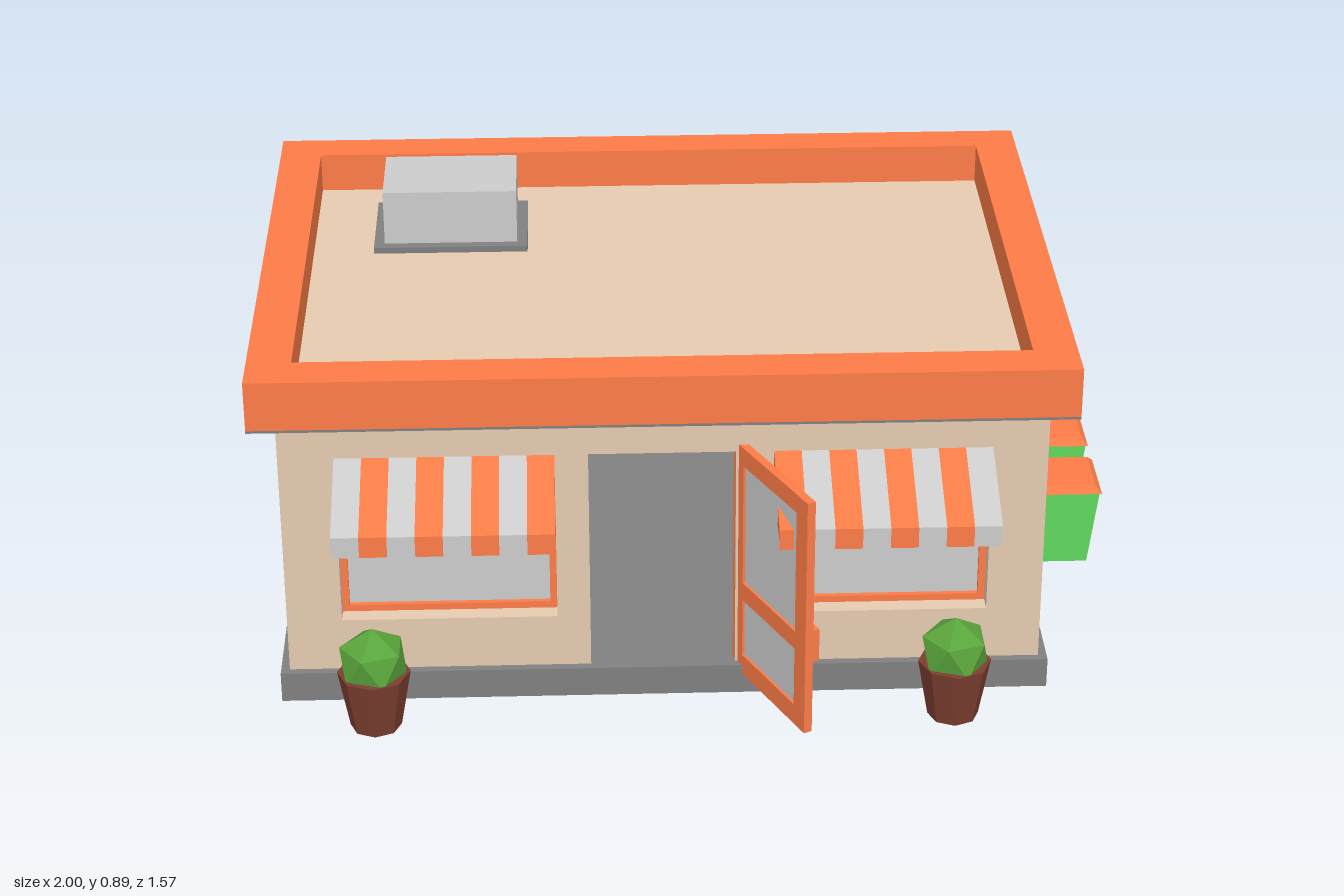
import * as THREE from 'three';

const mat = (color, side = THREE.FrontSide) =>
  new THREE.MeshStandardMaterial({ color, side, flatShading: true });
const ORANGE = mat(0xfd7c47), WALL = mat(0xe6cbb0), GREY = mat(0xcccccc), DARK = mat(0x808080);
const GREEN = mat(0x64e062), POT = mat(0x7c3e2f), PLANT = mat(0x5aa53c);
const CLOTH = [mat(0xcccccc, THREE.DoubleSide), mat(0xfd7c47, THREE.DoubleSide)];

function add(parent, name, geometry, material, x = 0, y = 0, z = 0) {
  const mesh = new THREE.Mesh(geometry, material);
  mesh.name = name;
  mesh.position.set(x, y, z);
  parent.add(mesh);
  return mesh;
}

// Box given by its limits on each axis
function box(parent, name, material, x0, x1, y0, y1, z0, z1) {
  return add(parent, name, new THREE.BoxGeometry(x1 - x0, y1 - y0, z1 - z0), material,
    (x0 + x1) / 2, (y0 + y1) / 2, (z0 + z1) / 2);
}

function rect(Type, x0, x1, y0, y1) {
  return new Type([[x0, y0], [x1, y0], [x1, y1], [x0, y1]].map(p => new THREE.Vector2(...p)));
}

// Flat panel with rectangular holes, thickness along z
function panel(limits, holes, depth) {
  const shape = rect(THREE.Shape, ...limits);
  holes.forEach(h => shape.holes.push(rect(THREE.Path, ...h)));
  return new THREE.ExtrudeGeometry(shape, { depth, bevelEnabled: false });
}

// Framed pane filling an opening, outer face of the wall at local z = T
const T = 0.08;
function windowUnit(parent, name, x0, x1, y0, y1) {
  const g = new THREE.Group();
  g.name = name;
  const f = 0.016;
  add(g, 'windowFrame', panel([x0, x1, y0, y1], [[x0 + f, x1 - f, y0 + f, y1 - f]], 0.03), ORANGE, 0, 0, 0.01);
  box(g, 'windowPane', GREY, x0 + f, x1 - f, y0 + f, y1 - f, 0.018, 0.028);
  parent.add(g);
}

// Quad or triangle strip from corner points
function sheet(points) {
  const g = new THREE.BufferGeometry();
  g.setAttribute('position', new THREE.Float32BufferAttribute(points.flat(), 3));
  g.setIndex(points.length === 4 ? [0, 1, 2, 0, 2, 3] : [0, 1, 2, 0, 2, 3, 0, 3, 4]);
  g.computeVertexNormals();
  return g;
}

// Striped awning: sloped cloth, hanging front edge and closed ends
function awning(parent, x0, x1, first) {
  const g = new THREE.Group();
  g.name = 'awning';
  const n = 8, w = (x1 - x0) / n, zi = 0.51, zo = 0.725;
  for (let i = 0; i < n; i++) {
    const a = x0 + i * w, b = a + w, m = CLOTH[(i + first) % 2];
    add(g, 'awningStripe', sheet([[a, 0.535, zo], [b, 0.535, zo], [b, 0.617, zi], [a, 0.617, zi]]), m);
    add(g, 'awningValance', sheet([[a, 0.485, zo], [b, 0.485, zo], [b, 0.535, zo], [a, 0.535, zo]]), m);
  }
  [[x0, first], [x1, (first + n - 1) % 2]].forEach(([x, c]) =>
    add(g, 'awningEnd', sheet([[x, 0.508, zo], [x, 0.515, zi], [x, 0.617, zi], [x, 0.535, zo]]), CLOTH[c]));
  parent.add(g);
}

// Square tapered block
function taper(top, bottom, height) {
  return new THREE.CylinderGeometry(top / Math.SQRT2, bottom / Math.SQRT2, height, 4).rotateY(Math.PI / 4);
}

export function createModel() {
  const model = new THREE.Group();
  model.name = 'shop';

  // Base and hollow shell
  box(model, 'base', DARK, -0.96, 0.80, 0, 0.072, -0.75, 0.53);
  const bottom = 0.072, top = 0.72;
  const windows = [[-0.815, -0.325, 0.2, 0.6], [0.165, 0.655, 0.2, 0.6]];
  const front = new THREE.Group();
  front.name = 'front';
  front.position.z = 0.51 - T;
  const shape = new THREE.Shape([
    [-0.94, bottom], [-0.25, bottom], [-0.25, 0.617], [0.08, 0.617],
    [0.08, bottom], [0.78, bottom], [0.78, top], [-0.94, top],
  ].map(p => new THREE.Vector2(...p)));
  windows.forEach(h => shape.holes.push(rect(THREE.Path, ...h)));
  add(front, 'frontWall', new THREE.ExtrudeGeometry(shape, { depth: T, bevelEnabled: false }), WALL);
  windows.forEach(h => windowUnit(front, 'frontWindow', ...h));
  model.add(front);

  // Side wall with the wide window
  const side = new THREE.Group();
  side.name = 'rightSide';
  side.rotation.y = -Math.PI / 2;
  side.position.x = -0.94 + T;
  const wide = [-0.48, 0.27, 0.2, 0.64];
  add(side, 'rightWall', panel([-0.72 + T, 0.51 - T, bottom, top], [wide], T), WALL);
  windowUnit(side, 'rightWindow', ...wide);
  model.add(side);
  box(model, 'leftWall', WALL, 0.78 - T, 0.78, bottom, top, -0.72 + T, 0.51 - T);
  box(model, 'backWall', WALL, -0.94, 0.78, bottom, top, -0.72, -0.72 + T);

  // Roof, soffit and parapet ring
  box(model, 'roof', WALL, -0.91, 0.75, 0.70, 0.74, -0.70, 0.475);
  const outer = [-1, 0.84, -0.565, 0.785], inner = [-0.9, 0.74, -0.465, 0.69];
  const ring = (name, depth, material, y) => {
    const m = add(model, name, panel(outer, [inner], depth), material, 0, y, 0);
    m.rotation.x = -Math.PI / 2;
  };
  ring('parapet', 0.117, ORANGE, 0.718);
  ring('soffit', 0.006, DARK, 0.712);

  // Rooftop unit
  box(model, 'roofUnitPlate', DARK, -0.755, -0.385, 0.735, 0.755, -0.575, -0.305);
  box(model, 'roofUnit', GREY, -0.73, -0.41, 0.755, 0.888, -0.55, -0.33);

  // Awnings, mirrored in colour
  awning(model, -0.815, -0.325, 0);
  awning(model, 0.165, 0.655, 1);

  // Open door
  const door = new THREE.Group();
  door.name = 'door';
  door.position.set(0.085, 0, 0.485);
  door.rotation.y = -1.12;
  const panes = [[0.045, 0.285, 0.1, 0.245], [0.045, 0.285, 0.29, 0.59]];
  add(door, 'doorFrame', panel([0, 0.333, 0.05, 0.635], panes, 0.02), ORANGE, 0, 0, -0.01);
  panes.forEach(p => box(door, 'doorPane', GREY, ...p, -0.004, 0.004));
  box(door, 'doorHandle', ORANGE, 0.285, 0.325, 0.225, 0.305, -0.03, -0.01);
  model.add(door);

  // Potted plants
  for (const x of [-0.74, 0.572]) {
    add(model, 'pot', new THREE.CylinderGeometry(0.083, 0.058, 0.14, 8), POT, x, 0.07, 0.635);
    const plant = add(model, 'plant', new THREE.IcosahedronGeometry(0.084), PLANT, x, 0.166, 0.635);
    plant.geometry.rotateZ(Math.atan(2 / (1 + Math.sqrt(5))));
  }

  // Bins
  for (const z of [-0.107, -0.355]) {
    add(model, 'bin', taper(0.165, 0.125, 0.2), GREEN, 0.91, 0.1, z);
    add(model, 'binLid', taper(0.145, 0.175, 0.017), ORANGE, 0.91, 0.2085, z);
  }
  return model;
}
